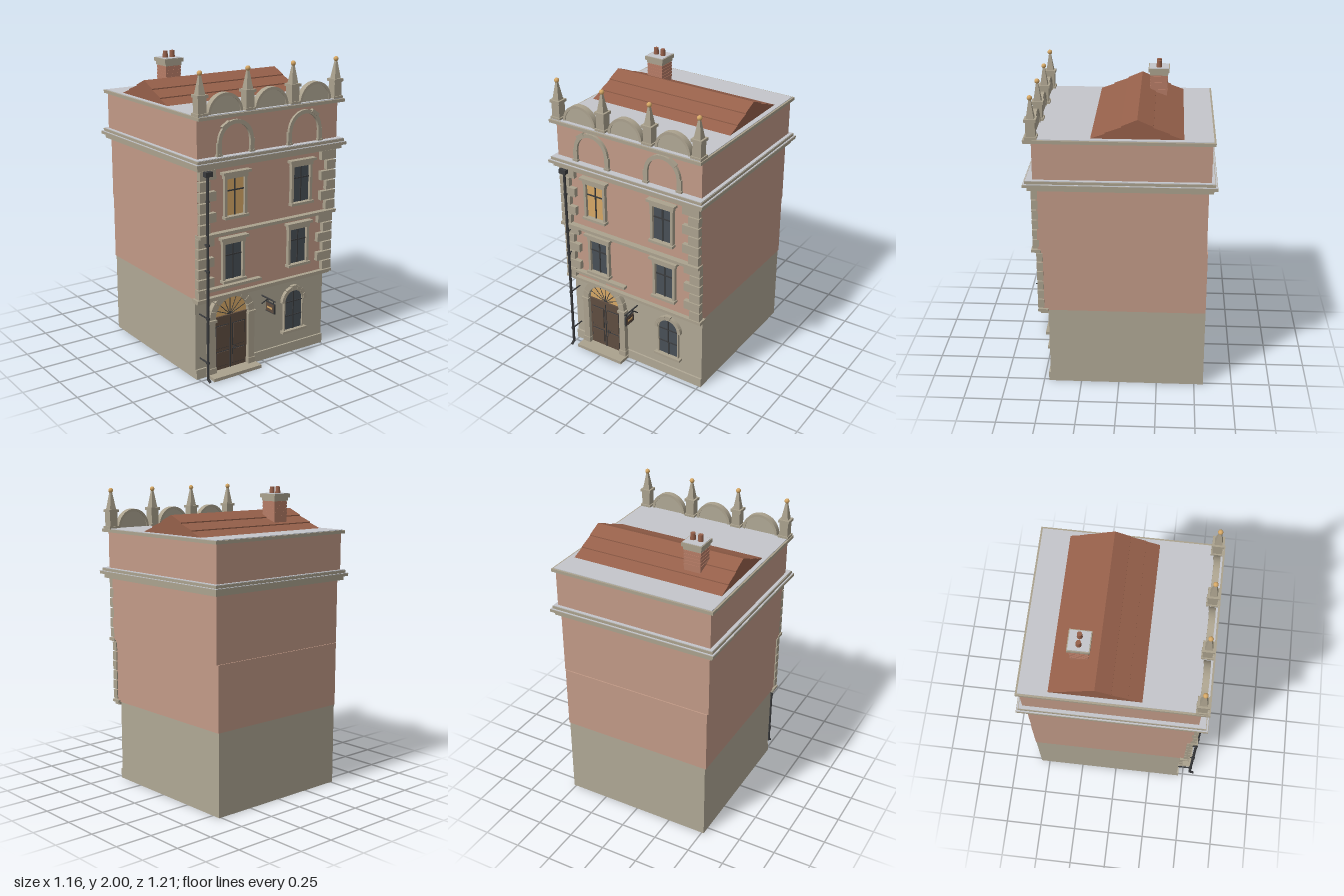
import * as THREE from 'three';

const mat = (name, color, extra = {}) => {
  const m = new THREE.MeshStandardMaterial({ color, ...extra });
  m.name = name;
  return m;
};

export function createModel() {
  const pink = mat('pink render', 0xc29a87);
  const ashlar = mat('ground floor stone', 0xb0a895);
  const trim = mat('trim stone', 0xaba28e);
  const tile = mat('roof tile', 0x96604a);
  const brick = mat('chimney brick', 0xb67c66);
  const wood = mat('door wood', 0x5f4d40);
  const glass = mat('dark glass', 0x485057);
  const amber = mat('amber', 0xd6a866);
  const iron = mat('iron', 0x3a3b3d);
  const lead = mat('lead', 0xc4c6cb);

  const root = new THREE.Group();
  root.name = 'townhouse';
  const add = (name, geo, m, x = 0, y = 0, z = 0) => {
    const mesh = new THREE.Mesh(geo, m);
    mesh.name = name;
    mesh.position.set(x, y, z);
    root.add(mesh);
    return mesh;
  };
  // Box given by its extents
  const box = (name, m, x0, x1, y0, y1, z0, z1) =>
    add(name, new THREE.BoxGeometry(x1 - x0, y1 - y0, z1 - z0), m, (x0 + x1) / 2, (y0 + y1) / 2, (z0 + z1) / 2);
  const extrude = (shape, depth) =>
    new THREE.ExtrudeGeometry(shape, { depth, bevelEnabled: false, curveSegments: 20 });
  // Sector of a ring in the xy plane, r0 = 0 gives a solid disc sector
  const sector = (name, m, x, y, z, r0, r1, a0, a1, depth) => {
    const s = new THREE.Shape();
    s.absarc(0, 0, r1, a0, a1, false);
    if (r0 > 0) s.absarc(0, 0, r0, a1, a0, true);
    return add(name, extrude(s, depth), m, x, y, z);
  };
  // Arch of separate wedge stones
  const voussoirs = (name, x, y, z, r0, r1, n, depth) => {
    for (let i = 0; i < n; i++) {
      const a = (Math.PI * i) / n, b = (Math.PI * (i + 1)) / n;
      sector(name, trim, x, y, z, r0, r1 + (i === (n - 1) / 2 ? 0.008 : 0), a + 0.012, b - 0.012, depth);
    }
  };
  const rod = (name, m, a, b, r) => {
    const path = new THREE.LineCurve3(new THREE.Vector3(...a), new THREE.Vector3(...b));
    return add(name, new THREE.TubeGeometry(path, 1, r, 8), m);
  };

  // Storeys, each jettied a little further to the front
  const F1 = 0.455, F2 = 0.49, F3 = 0.51, F4 = 0.525;
  box('groundFloor', ashlar, -0.515, 0.515, 0, 0.545, -0.56, F1);
  box('firstFloor', pink, -0.522, 0.522, 0.545, 0.97, -0.56, F2);
  box('secondFloor', pink, -0.53, 0.53, 0.97, 1.40, -0.553, F3);
  box('atticFloor', pink, -0.54, 0.54, 1.44, 1.705, -0.567, F4);
  box('plinth', ashlar, -0.07, 0.515, 0, 0.065, F1, F1 + 0.012);
  box('plinth', ashlar, -0.515, -0.44, 0, 0.065, F1, F1 + 0.012);

  // String courses
  box('lowerString', trim, -0.53, 0.53, 0.525, 0.54, F1, 0.505);
  box('lowerString', trim, -0.537, 0.537, 0.54, 0.557, F1, 0.52);
  box('upperString', trim, -0.535, 0.535, 0.962, 0.982, F2, 0.55);
  box('ledge', trim, -0.48, -0.05, 0.598, 0.616, F2, 0.525);

  // Main cornice with lead capping
  box('corniceBed', trim, -0.558, 0.558, 1.393, 1.42, -0.582, 0.56);
  box('corniceMiddle', trim, -0.578, 0.578, 1.42, 1.438, -0.605, 0.585);
  box('corniceTop', trim, -0.566, 0.566, 1.438, 1.458, -0.592, 0.572);
  box('corniceLead', lead, -0.562, 0.562, 1.458, 1.462, -0.588, 0.568);
  box('corniceLead', lead, -0.575, 0.575, 1.438, 1.441, -0.602, 0.582);

  // Flat roof and its coping
  box('coping', trim, -0.56, 0.56, 1.70, 1.72, -0.585, 0.575);
  box('flatRoof', lead, -0.548, 0.548, 1.715, 1.724, -0.573, 0.563);

  // Pitched roof with three overlapping courses per side
  const ridgeZ = -0.112, half = 0.293, top = 1.845, rise = 0.125, side = [];
  for (let i = 0; i < 3; i++) {
    const y0 = top - (rise * i) / 3, y1 = top - (rise * (i + 1)) / 3;
    side.push([(half * i) / 3, y0 - (i ? 0.007 : 0)], [(half * (i + 1)) / 3, y1]);
  }
  const profile = [...side.map(([d, y]) => [d, y]), ...side.slice(1).reverse().map(([d, y]) => [-d, y])];
  const roofShape = new THREE.Shape(profile.map(([d, y]) => new THREE.Vector2(d, y)).reverse());
  const roofGeo = extrude(roofShape, 1.035).rotateY(Math.PI / 2);
  add('pitchedRoof', roofGeo, tile, -0.52, 0, ridgeZ);

  // Chimney
  const cx = -0.264, cz = -0.228;
  const chimneyBlock = (name, m, h, y0, y1) => box(name, m, cx - h, cx + h, y0, y1, cz - h, cz + h);
  chimneyBlock('chimneyStack', brick, 0.055, 1.73, 1.92);
  for (let y = 1.80; y < 1.9; y += 0.022) chimneyBlock('brickCourse', brick, 0.0575, y, y + 0.015);
  chimneyBlock('chimneyCollar', trim, 0.06, 1.908, 1.93);
  chimneyBlock('chimneyCap', trim, 0.069, 1.93, 1.955);
  chimneyBlock('chimneyCapLead', lead, 0.063, 1.953, 1.958);
  for (const s of [-1, 1])
    add('chimneyPot', new THREE.CylinderGeometry(0.015, 0.018, 0.045, 12), tile, cx + s * 0.026, 1.978, cz);

  // Parapet obelisks and half discs
  const pz = 0.525;
  for (const x of [-0.518, -0.173, 0.172, 0.517]) {
    const block = (name, h, y0, y1) => box(name, trim, x - h, x + h, y0, y1, pz - h, pz + h);
    block('obeliskBase', 0.037, 1.72, 1.738);
    block('obeliskPedestal', 0.029, 1.738, 1.83);
    block('obeliskCap', 0.037, 1.83, 1.848);
    const spire = new THREE.CylinderGeometry(0.009, 0.034, 0.115, 4, 1).rotateY(Math.PI / 4).toNonIndexed();
    spire.computeVertexNormals();
    add('obelisk', spire, trim, x, 1.9055, pz);
    add('obeliskBall', new THREE.SphereGeometry(0.016, 14, 10), amber, x, 1.973, pz);
  }
  for (const x of [-0.345, 0, 0.345]) {
    sector('parapetDisc', ashlar, x, 1.72, pz - 0.014, 0, 0.118, 0, Math.PI, 0.028);
    sector('parapetRim', trim, x, 1.72, pz - 0.02, 0.108, 0.125, 0, Math.PI, 0.04);
  }

  // Blind arches on the attic floor
  for (const s of [-1, 1]) {
    const x = s * 0.267;
    sector('blindArch', trim, x, 1.545, F4, 0.105, 0.13, 0, Math.PI, 0.018);
    for (const t of [-1, 1]) {
      const px = x + t * 0.122;
      box('blindArchPost', trim, px - 0.015, px + 0.015, 1.46, 1.545, F4, F4 + 0.018);
      box('blindArchFoot', trim, px - 0.02, px + 0.02, 1.46, 1.475, F4, F4 + 0.022);
    }
    const brace = box('archBrace', trim, -0.03, 0.03, -0.011, 0.011, F4, F4 + 0.024);
    brace.position.x = x + s * 0.075;
    brace.position.y = 1.648;
    brace.rotation.z = -s * 0.6;
  }

  // Quoins, alternately long and short
  for (const [y0, y1, z] of [[0.56, 0.96, F2], [0.985, 1.39, F3]]) {
    const n = 6, h = (y1 - y0) / n;
    for (let i = 0; i < n; i++) for (const s of [-1, 1]) {
      const inner = i % 2 ? 0.412 : 0.455;
      const a = s * inner, b = s * 0.53;
      box('quoin', trim, Math.min(a, b), Math.max(a, b), y0 + i * h + 0.004, y0 + (i + 1) * h - 0.004, z - 0.01, z + 0.03);
    }
  }

  // Sash windows of the upper floors
  const sash = (x, y, z, pane) => {
    const w = 0.07, h = 0.237;
    box('windowPane', pane, x - w, x + w, y, y + h, z, z + 0.006);
    for (const s of [-1, 1])
      box('windowJamb', trim, x + s * 0.075 - 0.009, x + s * 0.075 + 0.009, y, y + h, z, z + 0.025);
    box('windowMullion', iron, x - 0.004, x + 0.004, y, y + h, z, z + 0.012);
    box('windowTransom', iron, x - w, x + w, y + 0.155, y + 0.163, z, z + 0.012);
    box('windowSill', trim, x - 0.09, x + 0.09, y - 0.017, y, z, z + 0.04);
    box('windowLintel', trim, x - 0.088, x + 0.088, y + h, y + h + 0.028, z, z + 0.028);
    box('windowHood', trim, x - 0.103, x + 0.103, y + h + 0.028, y + h + 0.045, z, z + 0.042);
  };
  for (const x of [-0.26, 0.256]) {
    sash(x, 0.65, F2, glass);
    sash(x, 1.074, F3, x < 0 ? amber : glass);
  }

  // Arched ground floor window
  const wx = 0.26, wy = 0.368;
  box('archedPane', glass, wx - 0.075, wx + 0.075, 0.167, wy, F1, F1 + 0.006);
  sector('archedPaneTop', glass, wx, wy, F1, 0, 0.075, 0, Math.PI, 0.006);
  sector('archedFrame', trim, wx, wy, F1, 0.072, 0.081, 0, Math.PI, 0.018);
  for (const s of [-1, 1])
    box('archedJamb', trim, wx + s * 0.0765 - 0.0045, wx + s * 0.0765 + 0.0045, 0.167, wy, F1, F1 + 0.018);
  box('archedMullion', iron, wx - 0.004, wx + 0.004, 0.167, 0.44, F1, F1 + 0.012);
  for (const y of [0.262, 0.36]) box('archedTransom', iron, wx - 0.073, wx + 0.073, y, y + 0.006, F1, F1 + 0.012);
  voussoirs('archedHood', wx, wy, F1, 0.08, 0.102, 7, 0.025);
  box('archedSill', trim, wx - 0.1, wx + 0.1, 0.15, 0.167, F1, F1 + 0.035);

  // Doorway: step, leaves, fanlight, surround
  const dx = -0.255, dy = 0.39;
  box('doorStep', trim, -0.44, -0.07, 0, 0.022, F1, 0.56);
  box('doorLeaves', wood, dx - 0.13, dx + 0.13, 0.022, dy, F1, F1 + 0.01);
  for (const s of [-1, 1]) {
    const px = dx + s * 0.064;
    for (const [y0, y1] of [[0.045, 0.15], [0.17, 0.33]]) {
      box('doorPanelEdge', iron, px - 0.05, px + 0.05, y0, y1, F1, F1 + 0.013);
      box('doorPanel', wood, px - 0.045, px + 0.045, y0 + 0.005, y1 - 0.005, F1, F1 + 0.018);
    }
    box('doorPost', trim, dx + s * 0.152 - 0.023, dx + s * 0.152 + 0.023, 0.022, 0.372, F1, F1 + 0.035);
    box('doorPostFoot', trim, dx + s * 0.152 - 0.027, dx + s * 0.152 + 0.027, 0.022, 0.06, F1, F1 + 0.042);
    box('doorImpost', trim, dx + s * 0.152 - 0.029, dx + s * 0.152 + 0.029, 0.372, dy, F1, F1 + 0.045);
  }
  box('doorGap', iron, dx - 0.003, dx + 0.003, 0.022, dy, F1, F1 + 0.014);
  box('doorTransom', wood, dx - 0.13, dx + 0.13, dy - 0.012, dy + 0.004, F1, F1 + 0.02);
  add('doorKnocker', new THREE.TorusGeometry(0.011, 0.003, 6, 14), iron, dx + 0.03, 0.16, F1 + 0.021);
  sector('fanlight', amber, dx, dy, F1, 0, 0.13, 0, Math.PI, 0.008);
  for (let i = 1; i < 8; i++) {
    const a = (Math.PI * i) / 8;
    rod('fanlightBar', iron, [dx, dy, F1 + 0.008],
      [dx + 0.128 * Math.cos(a), dy + 0.128 * Math.sin(a), F1 + 0.008], 0.0025);
  }
  voussoirs('doorArch', dx, dy, F1, 0.128, 0.172, 9, 0.035);

  // Hanging sign
  const sx = 0.005;
  rod('signArm', iron, [sx, 0.457, F1], [sx, 0.457, 0.605], 0.005);
  rod('signStay', iron, [sx, 0.40, F1], [sx, 0.455, 0.52], 0.004);
  for (const z of [0.52, 0.58]) rod('signHanger', iron, [sx, 0.435, z], [sx, 0.457, z], 0.003);
  box('signFrame', iron, sx - 0.005, sx + 0.005, 0.37, 0.438, 0.505, 0.595);
  box('signBoard', wood, sx - 0.007, sx + 0.007, 0.376, 0.432, 0.511, 0.589);
  box('signStripe', amber, sx - 0.009, sx + 0.009, 0.398, 0.41, 0.525, 0.575);

  // Rainwater pipe
  const gx = -0.482, gz = 0.55;
  rod('downpipe', iron, [gx, 0.025, gz], [gx, 1.36, gz], 0.009);
  rod('downpipeShoe', iron, [gx, 0.03, gz], [gx, 0.012, 0.578], 0.009);
  box('hopper', iron, gx - 0.026, gx + 0.026, 1.355, 1.385, 0.525, 0.572);
  for (const [y, z] of [[0.14, F1], [0.44, F1], [0.75, F2], [0.92, F2], [1.2, F3]]) {
    rod('pipeBracket', iron, [gx, y, z], [gx, y, gz], 0.005);
    add('pipeCollar', new THREE.CylinderGeometry(0.013, 0.013, 0.012, 10), iron, gx, y, gz);
  }

  return root;
}
